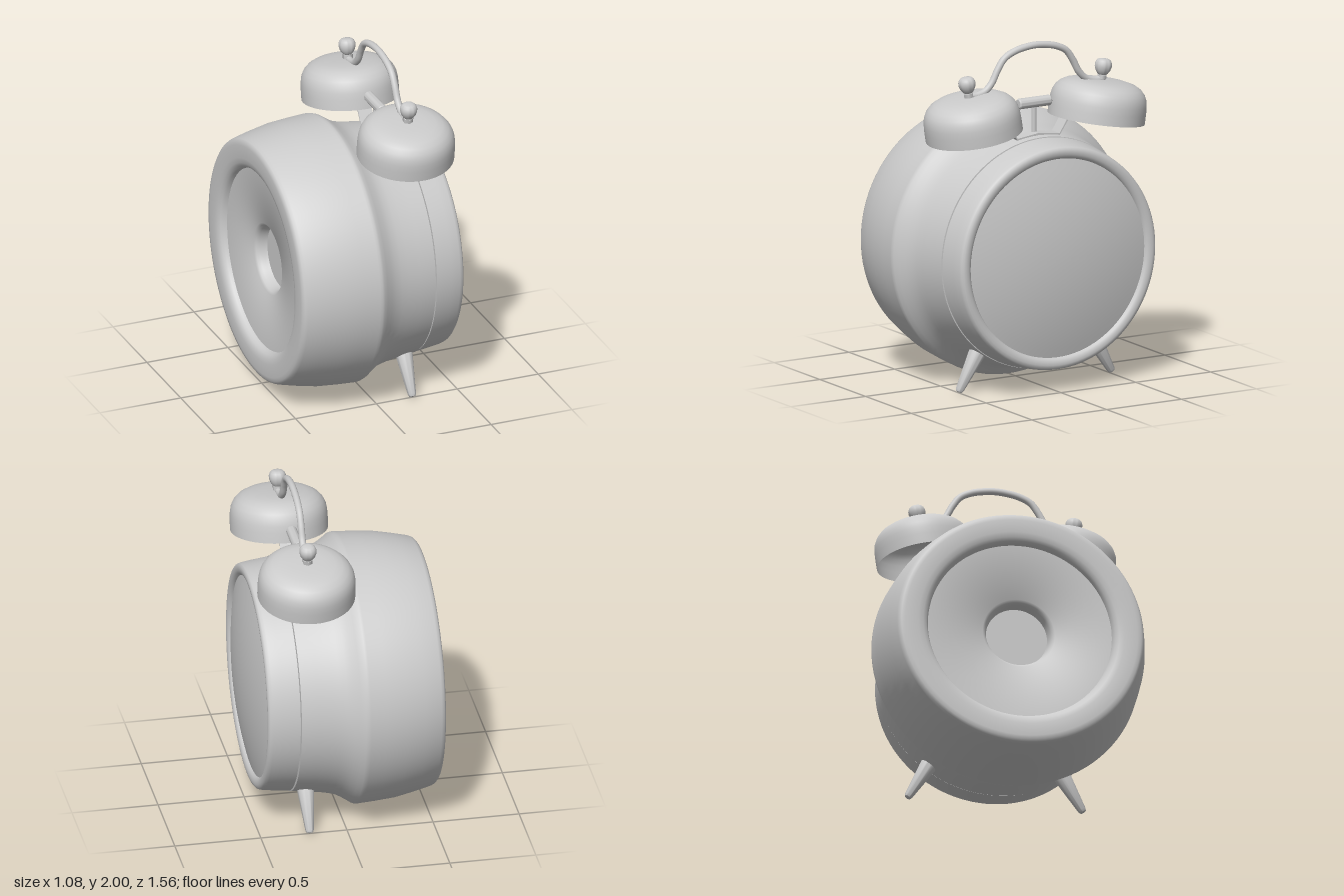
import * as THREE from 'three';
import { toCreasedNormals } from 'three/addons/utils/BufferGeometryUtils.js';

const mat = new THREE.MeshStandardMaterial({ color: 0xcccccc });
const thin = new THREE.MeshStandardMaterial({ color: 0xcccccc, side: THREE.DoubleSide });
const CY = 0.78; // height of the case axis
const PX = 0.218; // x of bells, handle and legs

function mesh(name, geometry, material = mat) {
  const m = new THREE.Mesh(geometry, material);
  m.name = name;
  return m;
}

// Turned part from [radius, height] pairs, running bottom to top
function turned(name, pts, segments = 96, material = mat, crease = 0.6) {
  const g = new THREE.LatheGeometry(pts.map(p => new THREE.Vector2(...p)), segments);
  return mesh(name, toCreasedNormals(g, crease), material);
}

// Turned part lying along the x axis of the case
function casePart(name, pts) {
  const m = turned(name, pts);
  m.rotation.z = -Math.PI / 2;
  m.position.y = CY;
  return m;
}

function createBell(side) {
  const bell = new THREE.Group();
  bell.name = side > 0 ? 'bellFront' : 'bellRear';
  bell.add(turned('bellDome', [
    [0.28, 0], [0.28, 0.06], [0.278, 0.1], [0.272, 0.135], [0.258, 0.165], [0.235, 0.19],
    [0.203, 0.208], [0.16, 0.219], [0.1, 0.225], [0, 0.225],
  ], 64, thin));
  const stem = mesh('bellStem', new THREE.CylinderGeometry(0.02, 0.02, 0.1, 20));
  stem.position.y = 0.235;
  const nut = mesh('bellNut', new THREE.CylinderGeometry(0.03, 0.03, 0.025, 6));
  nut.position.y = 0.24;
  const knob = turned('bellKnob', [
    [0, 0.254], [0.024, 0.254], [0.032, 0.262], [0.043, 0.28], [0.049, 0.3],
    [0.049, 0.317], [0.043, 0.333], [0.032, 0.343], [0.018, 0.346], [0, 0.347],
  ], 32, mat, 0.8);
  bell.add(stem, nut, knob);
  bell.position.set(PX, 1.503, side * 0.407);
  bell.rotation.x = side * 0.16;
  return bell;
}

// Tapered foot splayed outward from the case
function createLeg(side) {
  const leg = turned('leg', [
    [0, 0], [0.05, 0], [0.05, 0.05], [0.024, 0.288], [0.018, 0.301], [0, 0.305],
  ], 32);
  const dir = new THREE.Vector3(0, -0.866, side * 0.5);
  leg.quaternion.setFromUnitVectors(new THREE.Vector3(0, 1, 0), dir);
  leg.position.set(PX, 0.272, side * 0.36);
  return leg;
}

// Folded strip that carries both bells, drawn in the z-y plane
function createBracket() {
  const half = [[0.14, 1.454], [0.295, 1.695], [0.43, 1.7]];
  const t = 0.012;
  const top = [...half].reverse().map(([z, y]) => [-z, y]).concat([[0, 1.472]], half);
  const shape = new THREE.Shape();
  top.forEach(([z, y], i) => (i ? shape.lineTo(-z, y) : shape.moveTo(-z, y)));
  [...top].reverse().forEach(([z, y]) => shape.lineTo(-z + (Math.abs(z) > 0.2 ? Math.sign(-z) * t : 0), y - t));
  shape.closePath();
  const g = new THREE.ExtrudeGeometry(shape, { depth: 0.085, bevelEnabled: false });
  const m = mesh('bellBracket', g, thin);
  m.rotation.y = Math.PI / 2;
  m.position.x = 0.172;
  return m;
}

export function createModel() {
  const model = new THREE.Group();
  model.name = 'alarmClock';

  // Case, from the dished rear panel with its round well to the seam behind the bezel
  model.add(casePart('caseBody', [
    [0, -0.39], [0.178, -0.39], [0.183, -0.41], [0.188, -0.435], [0.196, -0.452], [0.21, -0.462],
    [0.535, -0.49], [0.54, -0.508], [0.55, -0.523], [0.57, -0.534], [0.6, -0.54], [0.675, -0.54],
    [0.697, -0.537], [0.71, -0.527], [0.718, -0.51], [0.742, -0.41], [0.764, -0.3],
    [0.774, -0.18], [0.779, -0.09], [0.78, -0.075], [0.775, -0.06], [0.757, -0.035], [0.735, 0],
    [0.716, 0.035], [0.705, 0.075], [0.696, 0.12], [0.685, 0.2], [0.674, 0.295], [0.65, 0.297],
    [0.65, 0.314],
  ]));

  // Bezel with a rounded lip around the glass
  model.add(casePart('bezel', [
    [0.64, 0.303], [0.671, 0.303], [0.66, 0.4], [0.652, 0.455], [0.647, 0.472], [0.637, 0.481],
    [0.622, 0.484], [0.605, 0.482], [0.59, 0.475], [0.58, 0.462], [0.576, 0.445],
  ]));

  // Shallow domed glass
  const glass = [];
  for (let i = 0; i <= 12; i++) {
    const r = 0.58 * (1 - i / 12);
    glass.push([r, 0.535 - 0.073 * (r / 0.58) ** 2]);
  }
  model.add(casePart('glass', glass));

  for (const side of [1, -1]) model.add(createBell(side), createLeg(side));
  model.add(createBracket());

  // Carrying handle between the bell stems
  const half = [[0.445, 1.73], [0.39, 1.73], [0.335, 1.748], [0.29, 1.792], [0.25, 1.865],
    [0.205, 1.925], [0.14, 1.958], [0.07, 1.974]];
  const path = half.concat([[0, 1.98]], [...half].reverse().map(([z, y]) => [-z, y]));
  const curve = new THREE.CatmullRomCurve3(path.map(([z, y]) => new THREE.Vector3(PX, y, z)));
  model.add(mesh('handle', new THREE.TubeGeometry(curve, 100, 0.02, 16)));

  // Hammer between the bells
  const hammer = new THREE.Group();
  hammer.name = 'hammer';
  const rod = mesh('hammerRod', new THREE.CylinderGeometry(0.015, 0.015, 0.2, 20));
  rod.position.y = 1.54;
  const head = turned('hammerHead', [
    [0, -0.107], [0.025, -0.107], [0.031, -0.1], [0.031, 0.1], [0.025, 0.107], [0, 0.107],
  ], 32);
  head.rotation.x = Math.PI / 2;
  head.position.y = 1.643;
  hammer.add(rod, head);
  hammer.position.x = 0.205;
  model.add(hammer);

  return model;
}
